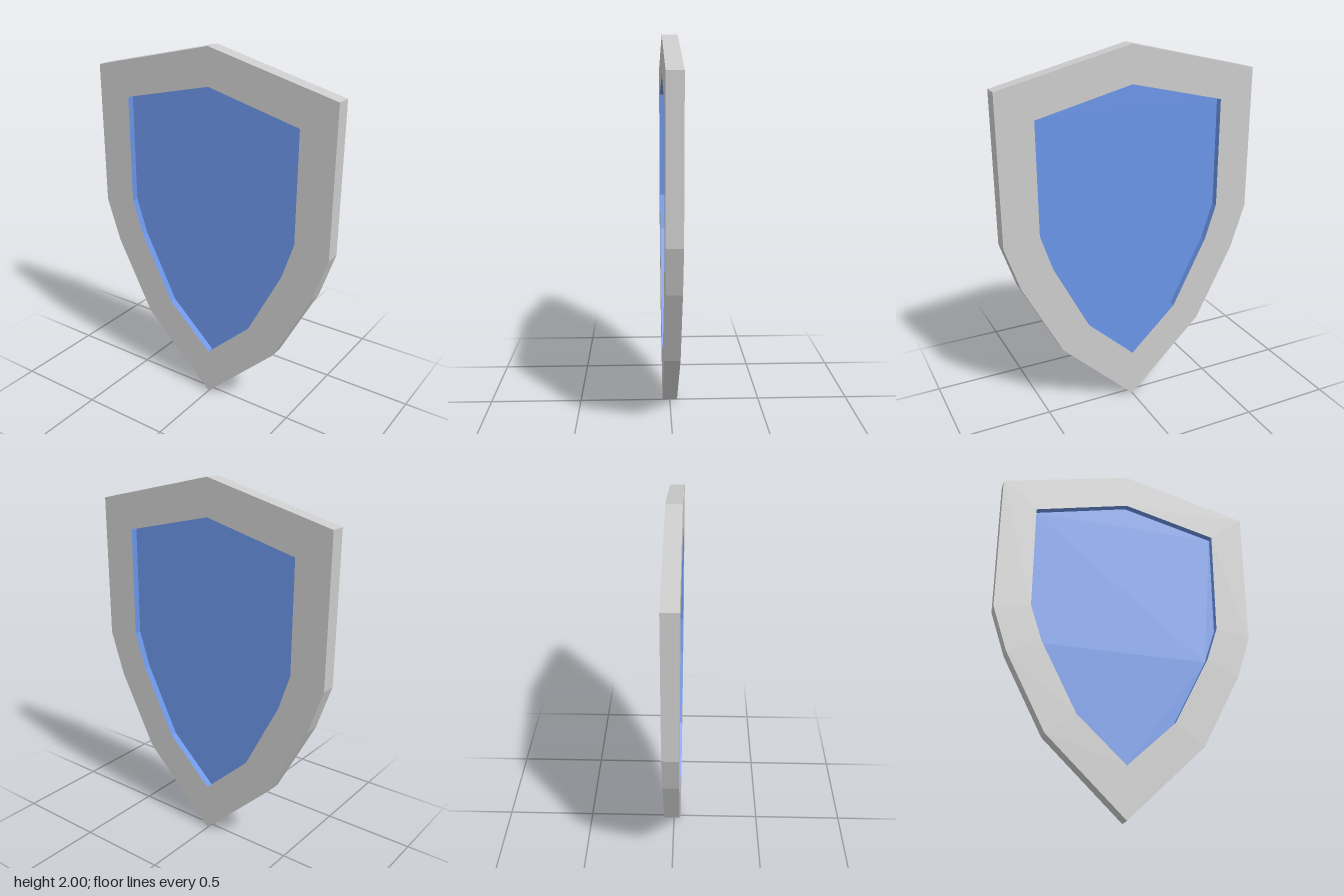
import * as THREE from 'three';

const HALF_DEPTH = 0.041;
const PANEL_Z = 0.004;

// Right halves of the outlines, bottom tip to top peak
const OUTER = [[0, 0], [0.418, 0.4], [0.632, 0.81], [0.712, 1.05], [0.712, 1.83], [0, 2]];
const INNER = [[0, 0.27], [0.263, 0.515], [0.456, 0.89], [0.52, 1.085], [0.52, 1.678], [0, 1.803]];

// Mirror a half outline into a closed counter-clockwise loop
function mirror(half) {
  const left = half.slice(1, -1).reverse().map(([x, y]) => [-x, y]);
  return [...half, ...left];
}

// Flat-faced skin joining successive loops, each given as { loop, z }
function skin(rings) {
  const pos = [];
  for (let r = 0; r < rings.length - 1; r++) {
    const a = rings[r], b = rings[r + 1], n = a.loop.length;
    for (let i = 0; i < n; i++) {
      const j = (i + 1) % n;
      const a0 = [...a.loop[i], a.z], a1 = [...a.loop[j], a.z];
      const b0 = [...b.loop[i], b.z], b1 = [...b.loop[j], b.z];
      pos.push(...a0, ...a1, ...b1, ...a0, ...b1, ...b0);
    }
  }
  const geo = new THREE.BufferGeometry();
  geo.setAttribute('position', new THREE.Float32BufferAttribute(pos, 3));
  geo.computeVertexNormals();
  return geo;
}

export function createModel() {
  const model = new THREE.Group();
  model.name = 'shield';
  const grey = new THREE.MeshStandardMaterial({ color: 0xcccccc, flatShading: true });
  const blue = new THREE.MeshStandardMaterial({ color: 0x6a94e6, flatShading: true });
  const outer = mirror(OUTER), inner = mirror(INNER);

  // Rim: back face, outer edge and front face
  const rim = new THREE.Mesh(skin([
    { loop: inner, z: -HALF_DEPTH },
    { loop: outer, z: -HALF_DEPTH },
    { loop: outer, z: HALF_DEPTH },
    { loop: inner, z: HALF_DEPTH },
  ]), grey);
  rim.name = 'rim';
  model.add(rim);

  // Recessed blue panel with blue walls, the same on front and back
  const wallGeo = skin([{ loop: inner, z: HALF_DEPTH }, { loop: inner, z: PANEL_Z }]);
  const panelGeo = new THREE.ShapeGeometry(
    new THREE.Shape(inner.map(([x, y]) => new THREE.Vector2(x, y)))
  ).translate(0, 0, PANEL_Z);
  for (const side of ['front', 'back']) {
    const recess = new THREE.Group();
    recess.name = side + 'Recess';
    const wall = new THREE.Mesh(wallGeo, blue);
    wall.name = side + 'RecessWall';
    const panel = new THREE.Mesh(panelGeo, blue);
    panel.name = side + 'Panel';
    recess.add(wall, panel);
    if (side === 'back') recess.rotation.y = Math.PI;
    model.add(recess);
  }
  return model;
}
